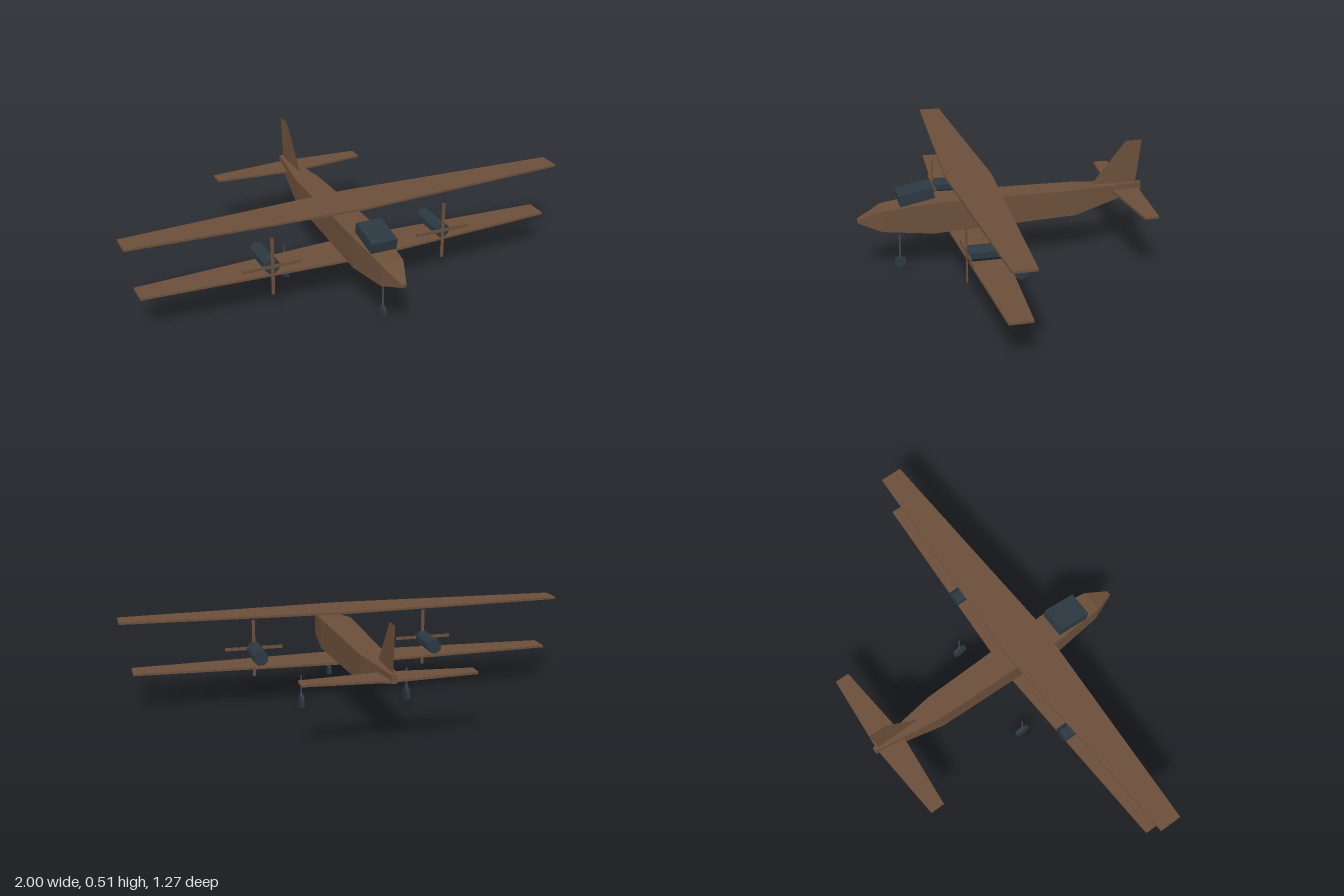
import * as THREE from 'three';

const brown = new THREE.MeshStandardMaterial({ color: 0x6b4f3a });
brown.name = 'brown paint';
brown.flatShading = true;
const sheet = new THREE.MeshStandardMaterial({ color: 0x6b4f3a, side: THREE.DoubleSide });
sheet.name = 'brown sheet';
const slate = new THREE.MeshStandardMaterial({ color: 0x2c3841 });
slate.name = 'dark slate';
slate.flatShading = true;
const grey = new THREE.MeshStandardMaterial({ color: 0x484a4c });
grey.name = 'strut grey';

export function createModel() {
  const model = new THREE.Group();
  model.name = 'biplane';

  const add = (name, geometry, material, x = 0, y = 0, z = 0, parent = model) => {
    const mesh = new THREE.Mesh(geometry, material);
    mesh.name = name;
    mesh.position.set(x, y, z);
    parent.add(mesh);
    return mesh;
  };

  // Fuselage: rectangular sections [z, half width, bottom, top], nose to tail
  const sections = [
    [0.64, 0.01, 0.23, 0.245],
    [0.535, 0.05, 0.196, 0.291],
    [0.32, 0.07, 0.177, 0.317],
    [-0.32, 0.055, 0.197, 0.315],
    [-0.635, 0.01, 0.277, 0.312],
  ];
  const points = [], faces = [];
  for (const [z, w, b, t] of sections) points.push(-w, b, z, w, b, z, w, t, z, -w, t, z);
  const quad = (a, b, c, d) => faces.push(a, b, c, a, c, d);
  for (let i = 0; i < sections.length - 1; i++) {
    for (let k = 0; k < 4; k++) {
      const a = i * 4 + k, b = i * 4 + (k + 1) % 4;
      quad(a, a + 4, b + 4, b);
    }
  }
  const last = (sections.length - 1) * 4;
  quad(0, 1, 2, 3);
  quad(last + 3, last + 2, last + 1, last);
  const body = new THREE.BufferGeometry();
  body.setAttribute('position', new THREE.Float32BufferAttribute(points, 3));
  body.setIndex(faces);
  const flatBody = body.toNonIndexed();
  flatBody.computeVertexNormals();
  add('fuselage', flatBody, brown);

  // Tapered flat surfaces, root and tip given as [front z, back z]
  const wing = (name, y, span, root, tip, thick) => {
    const shape = new THREE.Shape([
      [0, root[0]], [-span, tip[0]], [-span, tip[1]],
      [0, root[1]], [span, tip[1]], [span, tip[0]],
    ].map(p => new THREE.Vector2(...p)));
    const geometry = new THREE.ExtrudeGeometry(shape, { depth: thick, bevelEnabled: false });
    geometry.rotateX(Math.PI / 2);
    add(name, geometry, brown, 0, y + thick / 2, 0);
  };
  wing('upperWing', 0.403, 1, [0.253, 0.052], [0.2, 0.102], 0.01);
  wing('lowerWing', 0.173, 0.95, [0.253, 0.052], [0.2, 0.102], 0.01);
  wing('tailplane', 0.283, 0.36, [-0.497, -0.622], [-0.53, -0.594], 0.01);

  // Fin: a single thin sheet
  const fin = new THREE.ShapeGeometry(new THREE.Shape([
    [-0.405, 0.313], [-0.56, 0.508], [-0.635, 0.508], [-0.612, 0.312],
  ].map(p => new THREE.Vector2(...p))));
  fin.rotateY(-Math.PI / 2);
  add('fin', fin, sheet);

  // Sloping canopy
  add('canopy', new THREE.BoxGeometry(0.115, 0.049, 0.153), slate, 0, 0.345, 0.389).rotation.x = 0.2;

  // Engines and four-bladed propellers
  for (const side of [-1, 1]) {
    const engine = new THREE.Group();
    engine.name = side > 0 ? 'leftEngine' : 'rightEngine';
    engine.position.set(side * 0.4, 0.218, 0);
    model.add(engine);
    const nacelle = new THREE.CylinderGeometry(0.034, 0.034, 0.178, 8);
    nacelle.rotateY(Math.PI / 8).rotateX(Math.PI / 2);
    add('nacelle', nacelle, slate, 0, 0, 0.152, engine);
    add('verticalBlades', new THREE.BoxGeometry(0.014, 0.26, 0.005), brown, 0, 0.002, 0.242, engine);
    add('horizontalBlades', new THREE.BoxGeometry(0.26, 0.014, 0.005), brown, 0, 0.002, 0.242, engine);
  }

  // Landing gear: hexagonal wheels on thin legs
  const gear = (name, x, z, radius) => {
    const group = new THREE.Group();
    group.name = name;
    group.position.set(x, 0, z);
    model.add(group);
    const wheel = new THREE.CylinderGeometry(radius, radius, 0.015, 6);
    wheel.rotateZ(Math.PI / 2).rotateX(Math.PI / 2);
    add('wheel', wheel, slate, 0, radius, 0, group);
    const height = 0.155 - radius;
    add('leg', new THREE.CylinderGeometry(0.004, 0.004, height, 6), grey, 0, radius + height / 2, 0, group);
  };
  gear('noseGear', 0, 0.46, 0.027);
  gear('leftGear', 0.24, -0.025, 0.036);
  gear('rightGear', -0.24, -0.025, 0.036);

  return model;
}
